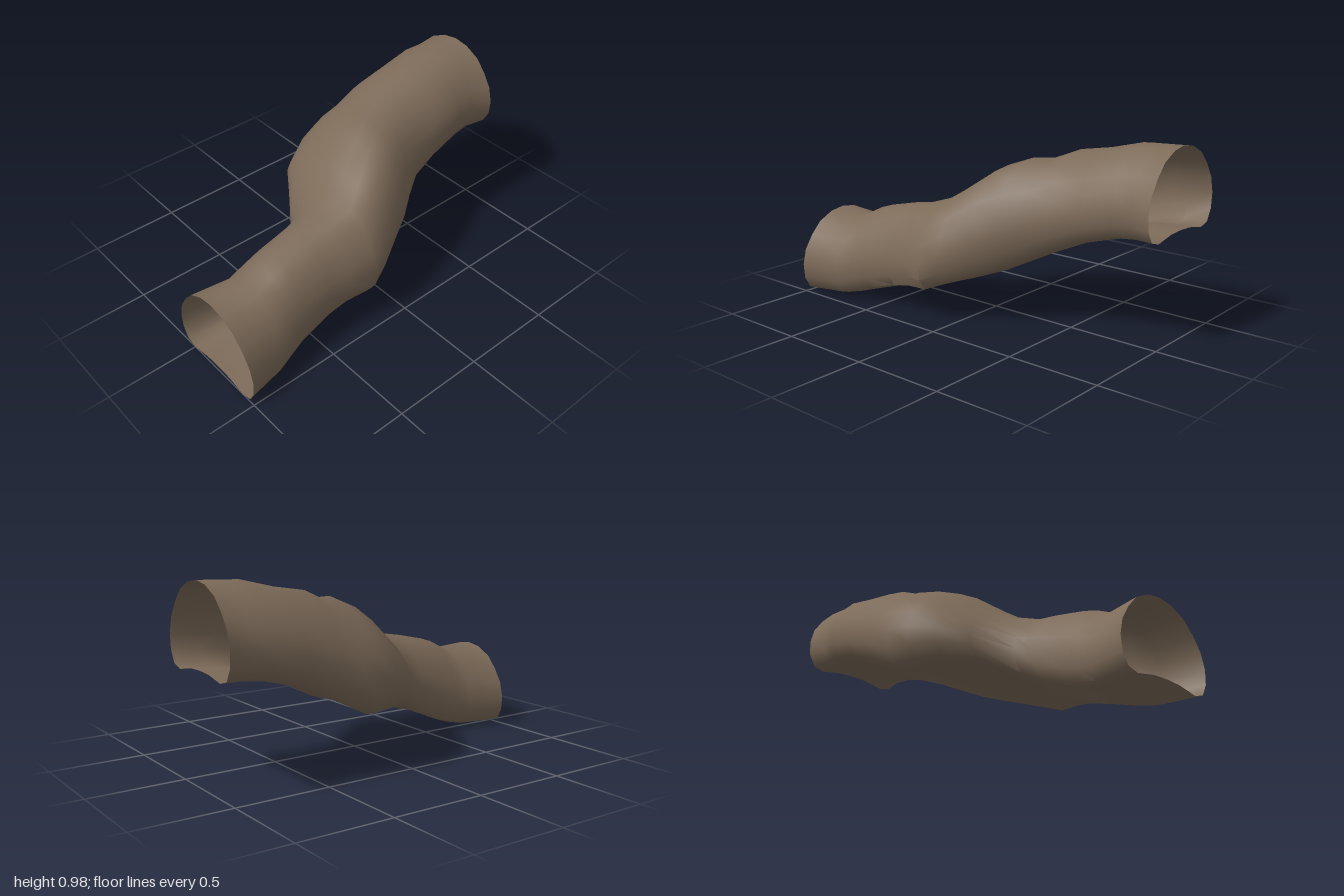
import * as THREE from 'three';
import { toCreasedNormals } from 'three/addons/utils/BufferGeometryUtils.js';

// Cross-section: arch with a slightly raised floor, u across (-1..1), v up (0..1)
const HALF = [[0.67, 0], [0.87, 0.04], [0.98, 0.18], [1, 0.36], [0.93, 0.55], [0.77, 0.72], [0.57, 0.87], [0.28, 0.97]];
const SECTION = [
  ...HALF,
  [0, 1],
  ...HALF.map(([u, v]) => [-u, v]).reverse(),
  [-0.3, 0.05], [0, 0.06], [0.3, 0.05],
];

// Stations: z, left x, right x, floor y, roof y, roof centre x, lift of the floor at -x
const STATIONS = [
  [1, -0.10, 0.51, 0.005, 0.45, 0.2, 0],
  [0.78, -0.065, 0.46, 0.012, 0.44, 0.2, 0],
  [0.68, -0.06, 0.43, 0.035, 0.49, 0.19, 0],
  [0.6, -0.06, 0.41, 0.06, 0.515, 0.18, 0],
  [0.42, -0.06, 0.395, 0.11, 0.555, 0.17, 0.03],
  [0.3, -0.08, 0.40, 0.13, 0.575, 0.17, 0.08],
  [0.16, -0.27, 0.44, 0.14, 0.62, 0.15, 0.16],
  [0.06, -0.41, 0.405, 0.18, 0.69, 0.08, 0.12],
  [-0.08, -0.475, 0.335, 0.235, 0.80, 0.0, 0.06],
  [-0.2, -0.51, 0.275, 0.29, 0.845, -0.06, 0],
  [-0.3, -0.505, 0.205, 0.34, 0.85, -0.12, 0],
  [-0.42, -0.495, 0.135, 0.40, 0.9, -0.17, 0],
  [-0.6, -0.495, 0.115, 0.48, 0.93, -0.18, 0],
  [-0.78, -0.49, 0.10, 0.53, 0.975, -0.18, 0],
  [-0.88, -0.47, 0.09, 0.54, 0.98, -0.18, 0],
  [-1, -0.49, 0.12, 0.545, 0.985, -0.18, 0],
];

function tunnelGeometry() {
  const n = SECTION.length, pos = [], index = [];
  for (const [z, x0, x1, y0, y1, apex, lift] of STATIONS) {
    const cx = (x0 + x1) / 2, hw = (x1 - x0) / 2;
    for (const [u, v] of SECTION) {
      const x = cx + u * hw + (apex - cx) * v * v * (1 - u * u);
      const y = y0 + v * (y1 - y0) + lift * (1 - u) / 2 * (1 - v);
      pos.push(x, y, z);
    }
  }
  for (let s = 0; s < STATIONS.length - 1; s++) {
    for (let i = 0; i < n; i++) {
      const j = (i + 1) % n;
      const a = s * n + i, b = s * n + j, c = a + n, d = b + n;
      index.push(a, b, c, b, d, c);
    }
  }
  const geo = new THREE.BufferGeometry();
  geo.setAttribute('position', new THREE.Float32BufferAttribute(pos, 3));
  geo.setIndex(index);
  // Rounded walls stay smooth, floor corners stay crisp
  return toCreasedNormals(geo, 0.85);
}

export function createModel() {
  const rock = new THREE.MeshStandardMaterial({ color: 0x7d6b59, side: THREE.DoubleSide });
  rock.name = 'brownRock';
  const group = new THREE.Group();
  group.name = 'caveTunnel';
  // Open-ended shell, seen from inside and outside
  const shell = new THREE.Mesh(tunnelGeometry(), rock);
  shell.name = 'tunnelShell';
  group.add(shell);
  return group;
}
